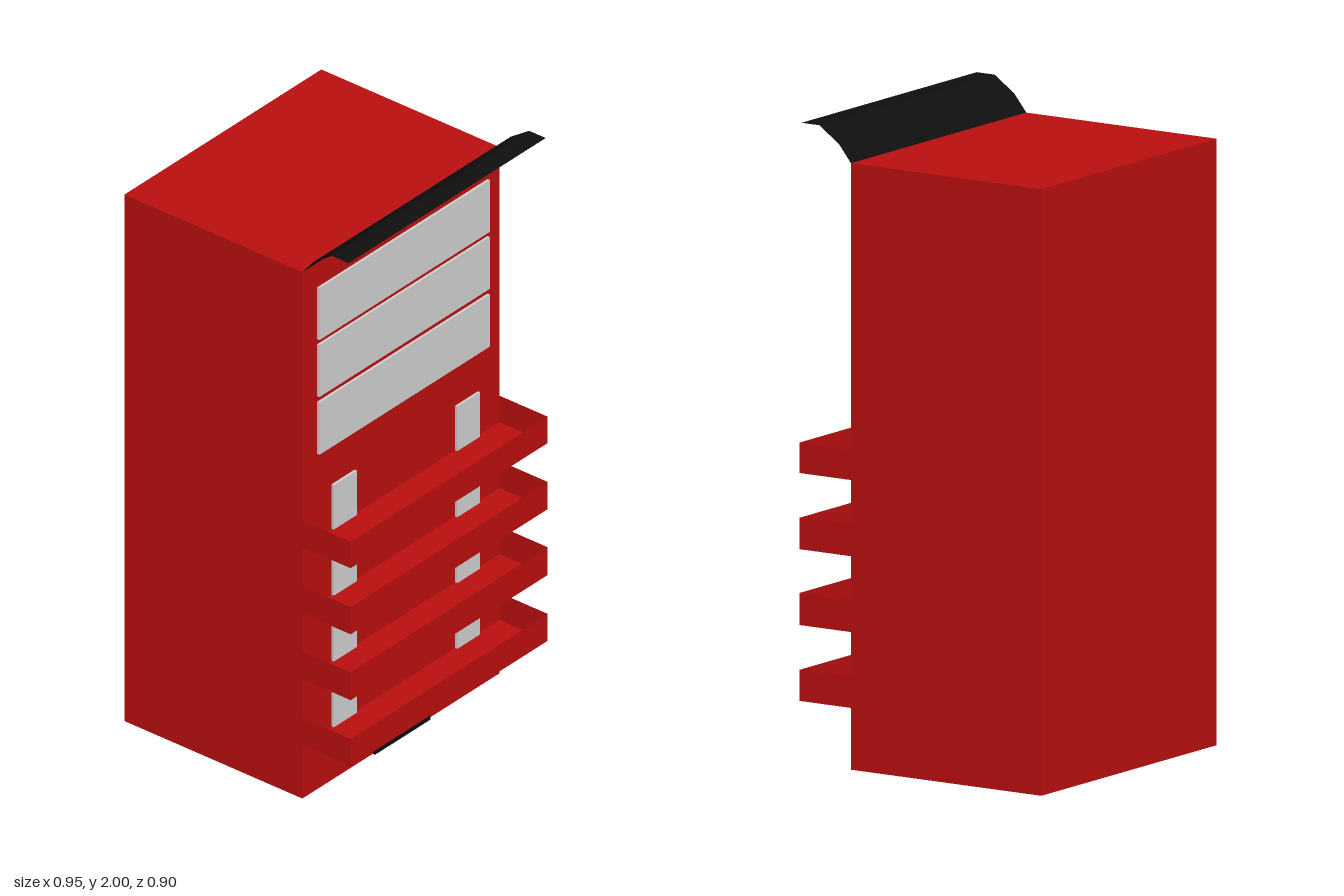
import * as THREE from 'three';

const red = new THREE.MeshStandardMaterial({ color: 0xb80e0e, side: THREE.DoubleSide, flatShading: true });
const black = new THREE.MeshStandardMaterial({ color: 0x0e0e0e, side: THREE.DoubleSide, flatShading: true });
const grey = new THREE.MeshStandardMaterial({ color: 0xcccccc });

const HALF = 0.473, FRONT = 0.258, BACK = -0.45, ROOF = 1.895, EDGE = 0.45;

// Box given by its limits on each axis
function block(name, material, x0, x1, y0, y1, z0, z1) {
  const mesh = new THREE.Mesh(new THREE.BoxGeometry(x1 - x0, y1 - y0, z1 - z0), material);
  mesh.position.set((x0 + x1) / 2, (y0 + y1) / 2, (z0 + z1) / 2);
  mesh.name = name;
  return mesh;
}

// Thin sheet: a profile of [z, y] points swept across the full width
function sheet(name, material, profile) {
  const pos = [], index = [];
  profile.forEach(([z, y], i) => {
    pos.push(-HALF, y, z, HALF, y, z);
    if (i) {
      const a = 2 * i - 2;
      index.push(a, a + 2, a + 1, a + 1, a + 2, a + 3);
    }
  });
  const geo = new THREE.BufferGeometry();
  geo.setAttribute('position', new THREE.Float32BufferAttribute(pos, 3));
  geo.setIndex(index);
  const flat = geo.toNonIndexed();
  flat.computeVertexNormals();
  const mesh = new THREE.Mesh(flat, material);
  mesh.name = name;
  return mesh;
}

// Open-topped balcony: floor and front parapet in one sheet, plus two end panels
function balcony(y0, y1) {
  const group = new THREE.Group();
  group.name = 'balcony';
  group.add(sheet('floorAndParapet', red, [[FRONT, y0], [EDGE, y0], [EDGE, y1]]));
  for (const side of [-1, 1]) {
    const end = new THREE.Mesh(new THREE.PlaneGeometry(EDGE - FRONT, y1 - y0), red);
    end.rotation.y = side * Math.PI / 2;
    end.position.set(side * HALF, (y0 + y1) / 2, (FRONT + EDGE) / 2);
    end.name = 'endPanel';
    group.add(end);
  }
  return group;
}

export function createModel() {
  const model = new THREE.Group();
  model.name = 'apartmentBuilding';

  model.add(block('tower', red, -HALF, HALF, 0, ROOF, BACK, FRONT));

  // Balconies with a pair of doors behind each: [floor, parapet top, left door top, right door top]
  const floors = [
    [0.193, 0.29, 0.353, 0.353],
    [0.43, 0.53, 0.593, 0.59],
    [0.667, 0.765, 0.825, 0.834],
    [0.905, 1.0, 1.065, 1.065],
  ];
  for (const [y0, y1, topA, topB] of floors) {
    model.add(balcony(y0, y1));
    model.add(block('balconyDoor', grey, -0.333, -0.222, y0, topA, FRONT - 0.01, 0.267));
    model.add(block('balconyDoor', grey, 0.26, 0.37, y0, topB, FRONT - 0.01, 0.267));
  }

  // Long window bands
  for (const [y0, y1] of [[1.207, 1.395], [1.415, 1.602], [1.62, 1.807]]) {
    model.add(block('windowBand', grey, -0.402, 0.416, y0, y1, FRONT - 0.01, 0.267));
  }

  model.add(block('entrance', black, -0.135, 0.131, 0, 0.168, FRONT - 0.01, 0.267));

  // Curved canopy rising off the roof edge
  model.add(sheet('canopy', black, [[FRONT, ROOF], [0.303, 1.95], [0.376, 2.0], [0.442, 2.0]]));

  return model;
}
